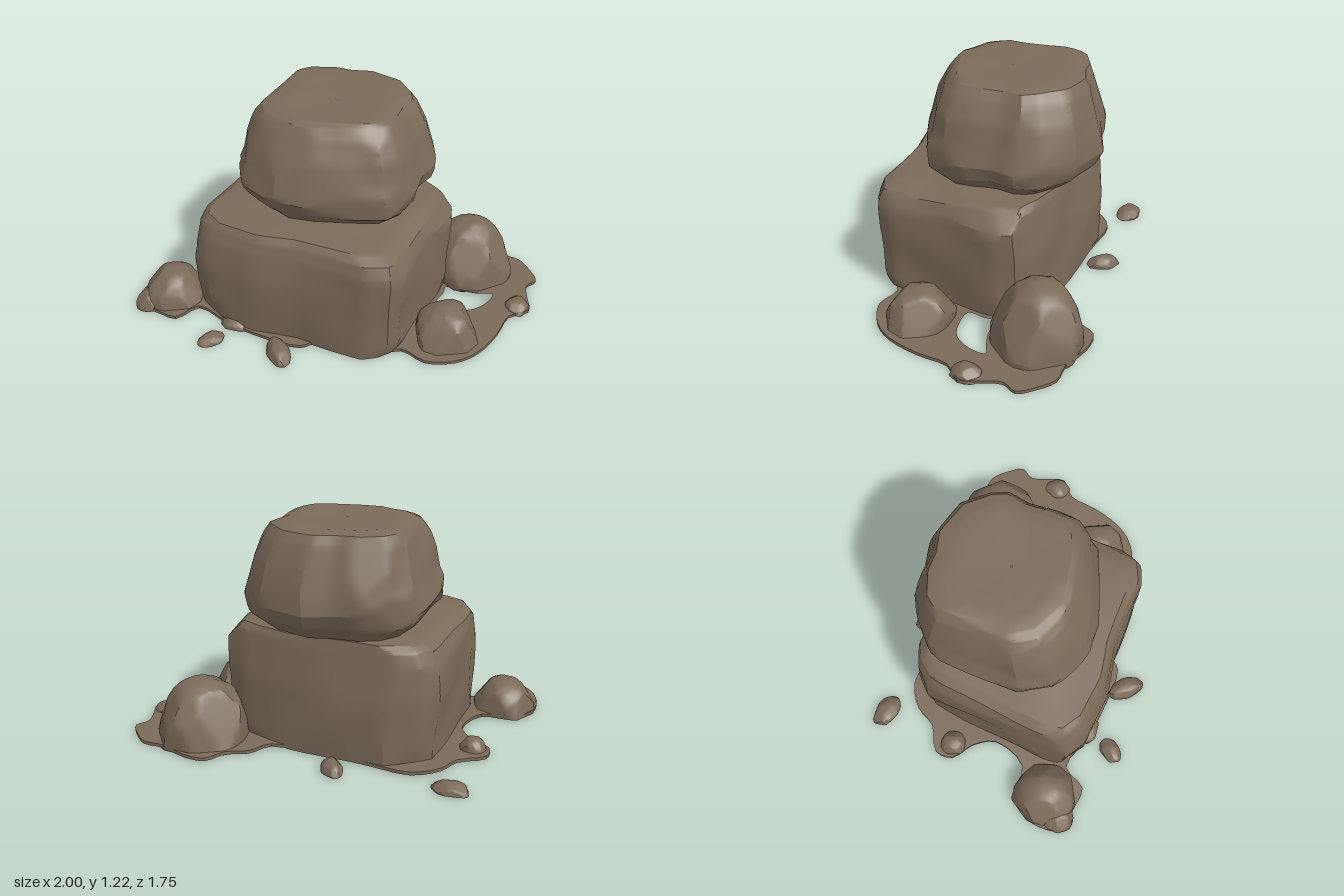
import * as THREE from 'three';
import { toCreasedNormals, mergeVertices } from 'three/addons/utils/BufferGeometryUtils.js';

const stone = new THREE.MeshStandardMaterial({ color: 0x7b6a59 });
stone.name = 'brown stone';

// Small seeded random generator
function seeded(seed) {
  let s = seed * 7919 + 17;
  return () => {
    s = (s * 16807) % 2147483647;
    return s / 2147483647;
  };
}

// Weathering: gentle lumps, then flat chips cut off by random planes
function weather(geo, seed, chips, depth, lump) {
  const rnd = seeded(seed);
  for (let i = 0; i < 5; i++) rnd();
  const p = geo.attributes.position;
  const v = new THREE.Vector3();
  for (let i = 0; i < p.count; i++) {
    v.fromBufferAttribute(p, i);
    const a = Math.sin(v.x * 9 + v.y * 7 + seed) * Math.cos(v.z * 10 - v.y * 6);
    const b = Math.sin(v.z * 11 + v.x * 5 + seed * 2) * Math.cos(v.y * 9 + v.x * 8);
    p.setXYZ(i, v.x + a * lump, v.y + b * lump * 0.4, v.z + b * lump);
  }
  geo.computeBoundingSphere();
  const r = geo.boundingSphere.radius;
  for (let c = 0; c < chips; c++) {
    const t = rnd() * Math.PI * 2, y = rnd() * 1.5 - 0.55;
    const n = new THREE.Vector3(Math.cos(t), y, Math.sin(t)).normalize();
    let far = -Infinity;
    for (let i = 0; i < p.count; i++) far = Math.max(far, v.fromBufferAttribute(p, i).dot(n));
    const limit = far - r * depth * (0.4 + rnd() * 0.6);
    for (let i = 0; i < p.count; i++) {
      const over = v.fromBufferAttribute(p, i).dot(n) - limit;
      if (over > 0) {
        v.addScaledVector(n, -over);
        p.setXYZ(i, v.x, v.y, v.z);
      }
    }
  }
  return geo;
}

// Loft one plan outline through levels [y, xMin, xMax, zMin, zMax]
function loft(outline, levels, ringSteps, levelSteps) {
  const ring = [];
  outline.forEach((a, i) => {
    const b = outline[(i + 1) % outline.length];
    for (let k = 0; k < ringSteps; k++) {
      const t = k / ringSteps;
      ring.push([a[0] + (b[0] - a[0]) * t, a[1] + (b[1] - a[1]) * t]);
    }
  });
  const xs = outline.map((q) => q[0]), zs = outline.map((q) => q[1]);
  const x0 = Math.min(...xs), x1 = Math.max(...xs), z0 = Math.min(...zs), z1 = Math.max(...zs);
  const rows = [];
  for (let i = 0; i < levels.length - 1; i++) {
    for (let k = 0; k < levelSteps; k++) {
      rows.push(levels[i].map((a, j) => a + (levels[i + 1][j] - a) * (k / levelSteps)));
    }
  }
  rows.push(levels[levels.length - 1]);
  const pos = [], index = [], n = ring.length;
  rows.forEach(([y, a, b, c, d]) => ring.forEach(([x, z]) => {
    pos.push(a + ((x - x0) / (x1 - x0)) * (b - a), y, c + ((z - z0) / (z1 - z0)) * (d - c));
  }));
  for (let r = 0; r < rows.length - 1; r++) {
    for (let i = 0; i < n; i++) {
      const a = r * n + i, b = r * n + (i + 1) % n;
      index.push(a, a + n, b, b, a + n, b + n);
    }
  }
  const geo = new THREE.BufferGeometry();
  geo.setAttribute('position', new THREE.Float32BufferAttribute(pos, 3));
  geo.setIndex(index);
  return geo;
}

// Half-buried stone: chipped dome with a flat foot at y = 0
function dome(x, z, rx, h, rz, turn, seed) {
  let geo = new THREE.IcosahedronGeometry(1, 9);
  geo.deleteAttribute('normal');
  geo.deleteAttribute('uv');
  geo = weather(mergeVertices(geo, 1e-4), seed, 26, 0.13, 0.03);
  const p = geo.attributes.position;
  for (let i = 0; i < p.count; i++) {
    const y = Math.max(0, p.getY(i));
    const flare = 1.08 - 0.05 * y;
    p.setXYZ(i, p.getX(i) * flare * rx, Math.pow(y, 0.9) * h, p.getZ(i) * flare * rz);
  }
  return geo.rotateY(turn).translate(x, 0, z);
}

export function createModel() {
  const group = new THREE.Group();
  const add = (name, geo, crease) => {
    const mesh = new THREE.Mesh(toCreasedNormals(geo, crease), stone);
    mesh.name = name;
    group.add(mesh);
  };

  // Large squared base block
  const blockPlan = [
    [-0.71, -0.2], [-0.66, -0.3], [-0.52, -0.41], [-0.25, -0.46], [0.1, -0.49], [0.32, -0.49],
    [0.46, -0.45], [0.51, -0.36], [0.53, -0.1], [0.57, 0.1], [0.6, 0.25], [0.58, 0.34], [0.48, 0.42],
    [0.3, 0.47], [0.1, 0.52], [-0.12, 0.62], [-0.4, 0.67], [-0.54, 0.63], [-0.58, 0.52], [-0.6, 0.4],
    [-0.64, 0.2],
  ];
  add('baseBlock', weather(loft(blockPlan, [
    [0, -0.06, -0.05, 0.08, 0.09], [0, -0.69, 0.585, -0.485, 0.66], [0.15, -0.695, 0.59, -0.49, 0.67],
    [0.37, -0.712, 0.604, -0.492, 0.675], [0.54, -0.705, 0.604, -0.465, 0.65],
    [0.61, -0.675, 0.57, -0.455, 0.625], [0.645, -0.61, 0.48, -0.44, 0.6],
    [0.66, -0.4, 0.3, -0.3, 0.35], [0.66, -0.06, -0.05, 0.08, 0.09],
  ], 4, 4), 5, 20, 0.03, 0.01), 0.5);

  // Boulder resting on the block
  const boulderPlan = [
    [-0.6, -0.22], [-0.54, -0.36], [-0.43, -0.46], [-0.28, -0.5], [-0.14, -0.58], [0.12, -0.58],
    [0.28, -0.48], [0.36, -0.38], [0.37, -0.25], [0.42, -0.1], [0.44, 0.03], [0.4, 0.15], [0.25, 0.27],
    [0.06, 0.39], [-0.1, 0.46], [-0.35, 0.41], [-0.5, 0.28], [-0.53, 0.1],
  ];
  add('topBoulder', weather(loft(boulderPlan, [
    [0.645, -0.08, -0.07, -0.08, -0.07], [0.655, -0.47, 0.35, -0.48, 0.34], [0.73, -0.57, 0.435, -0.555, 0.425],
    [0.81, -0.615, 0.455, -0.587, 0.47], [0.92, -0.565, 0.415, -0.572, 0.43], [1.03, -0.54, 0.39, -0.545, 0.395],
    [1.14, -0.505, 0.335, -0.505, 0.345], [1.19, -0.48, 0.3, -0.47, 0.3], [1.208, -0.42, 0.255, -0.39, 0.255],
    [1.195, -0.08, -0.07, -0.08, -0.07],
  ], 4, 4), 3, 24, 0.04, 0.01), 0.5);

  // Stones around the foot: x, z, half width, height, half depth, turn
  [
    ['backStone', 0.5, -0.63, 0.25, 0.355, 0.24, 0.3],
    ['sideStone', 0.72, -0.03, 0.18, 0.205, 0.19, 0.8],
    ['frontStone', -0.72, 0.64, 0.175, 0.19, 0.175, 0.4],
    ['frontStoneToe', -0.78, 0.78, 0.09, 0.09, 0.085, 0.9],
    ['rimPebble', 0.92, -0.48, 0.07, 0.055, 0.08, 0.2],
    ['leftPebble', -0.81, 0.03, 0.07, 0.08, 0.075, 0.5],
    ['looseLeftPebble', -0.9, -0.41, 0.1, 0.045, 0.065, 0.15],
    ['looseFrontPebble', -0.28, 0.8, 0.055, 0.04, 0.075, -0.5],
    ['frontPebble', 0.08, 0.65, 0.11, 0.06, 0.06, -0.6],
    ['wedgePebble', -0.27, 0.62, 0.09, 0.05, 0.06, 0.2],
    ['backPebble', -0.3, -0.56, 0.09, 0.06, 0.055, -0.75],
  ].forEach(([name, ...size], i) => add(name, dome(...size, i + 11), 0.45));

  // Thin ground crust with an open gap between the two stones
  const rim = [
    [0.12, -0.52], [0.17, -0.65], [0.27, -0.73], [0.31, -0.84], [0.42, -0.87], [0.6, -0.85], [0.72, -0.87],
    [0.82, -0.82], [0.9, -0.75], [0.88, -0.67], [0.94, -0.57], [0.995, -0.48], [0.93, -0.37], [0.95, -0.2],
    [0.94, 0], [0.88, 0.13], [0.75, 0.23], [0.6, 0.23], [0.48, 0.38], [0.2, 0.47], [0.15, 0.55],
    [-0.04, 0.61], [-0.3, 0.65], [-0.52, 0.65], [-0.56, 0.8], [-0.7, 0.83], [-0.77, 0.865], [-0.84, 0.84],
    [-0.9, 0.66], [-0.84, 0.51], [-0.67, 0.44], [-0.65, 0.23], [-0.75, 0.13], [-0.88, 0.08], [-0.91, -0.02],
    [-0.8, -0.14], [-0.77, -0.27], [-0.66, -0.39], [-0.45, -0.42], [-0.2, -0.45],
  ];
  const gap = [
    [0.51, -0.38], [0.6, -0.39], [0.7, -0.44], [0.76, -0.48], [0.77, -0.38], [0.73, -0.28], [0.65, -0.23],
    [0.54, -0.21], [0.53, -0.3],
  ];
  const smooth = (pts) => new THREE.CatmullRomCurve3(
    pts.map(([x, z]) => new THREE.Vector3(x, -z, 0)), true).getPoints(pts.length * 3)
    .slice(0, -1).map((q) => new THREE.Vector2(q.x, q.y));
  const crust = new THREE.Shape(smooth(rim));
  crust.holes.push(new THREE.Path(smooth(gap)));
  add('groundCrust', new THREE.ExtrudeGeometry(crust, { depth: 0.018, bevelEnabled: false })
    .rotateX(-Math.PI / 2), 0.5);

  return group;
}
